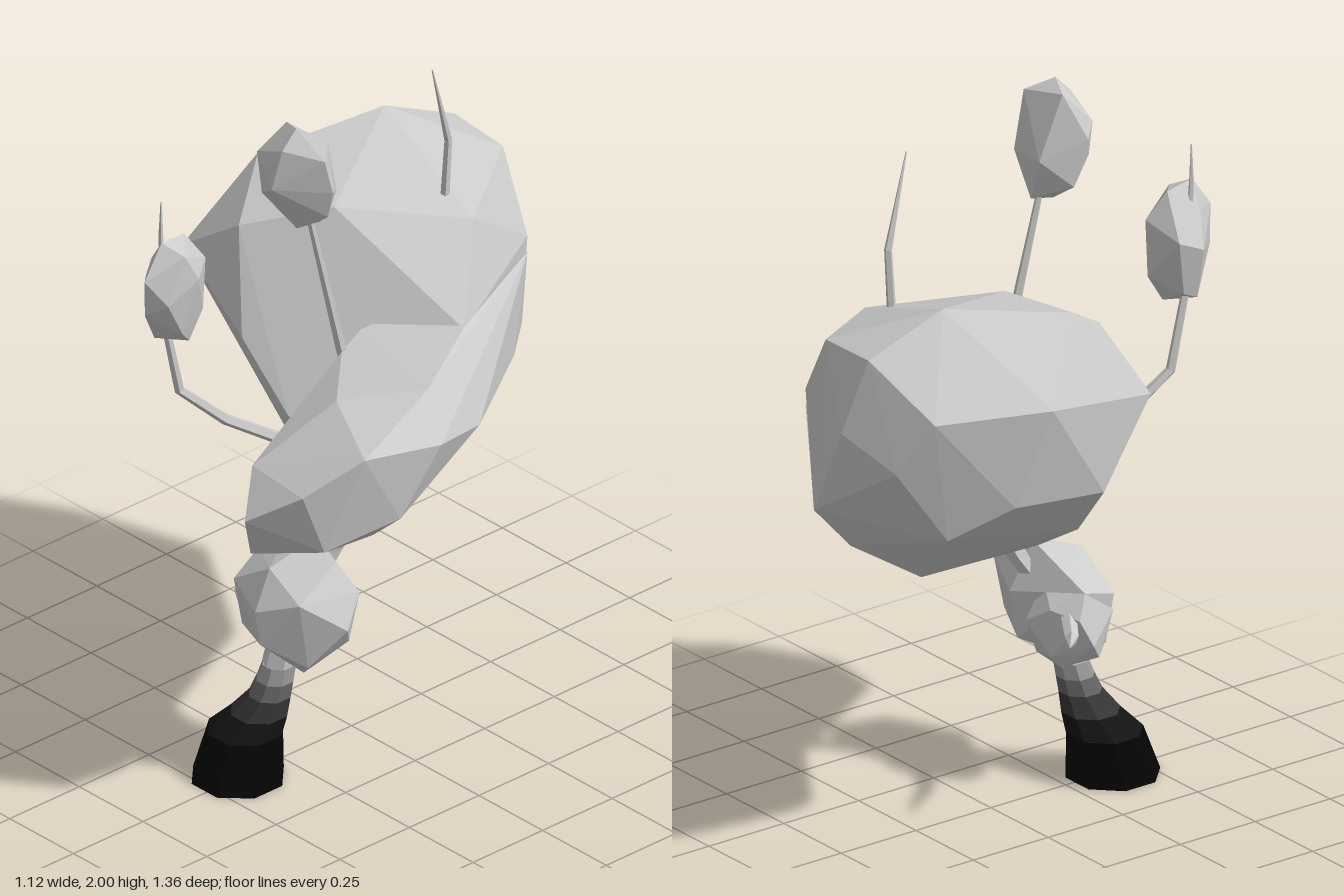
import * as THREE from 'three';
import { ConvexGeometry } from 'three/addons/geometries/ConvexGeometry.js';

const grey = (color = 0xcccccc) => new THREE.MeshStandardMaterial({ color, flatShading: true });

function part(name, geometry, color) {
  const mesh = new THREE.Mesh(geometry, grey(color));
  mesh.name = name;
  return mesh;
}

// Faceted lump wrapped around a handful of corner points
const hull = (points) => new ConvexGeometry(points.map((p) => new THREE.Vector3(...p)));

// Tapered branch through rings [x, y, z, radius]; level keeps rings horizontal
function branch(rings, sides, level = false) {
  const up = new THREE.Vector3(0, 1, 0);
  const centres = rings.map((r) => new THREE.Vector3(r[0], r[1], r[2]));
  const pos = [], idx = [];
  rings.forEach((r, i) => {
    const a = centres[Math.max(i - 1, 0)], b = centres[Math.min(i + 1, rings.length - 1)];
    const turn = new THREE.Quaternion();
    if (!level) turn.setFromUnitVectors(up, b.clone().sub(a).normalize());
    for (let j = 0; j < sides; j++) {
      const t = ((j + 0.5) / sides) * Math.PI * 2;
      const v = new THREE.Vector3(Math.cos(t) * r[3], 0, Math.sin(t) * r[3]);
      pos.push(...v.applyQuaternion(turn).add(centres[i]).toArray());
      if (i === 0) continue;
      const k = (j + 1) % sides, lo = (i - 1) * sides, hi = i * sides;
      idx.push(lo + j, hi + j, hi + k, lo + j, hi + k, lo + k);
    }
  });
  // End caps
  const top = (rings.length - 1) * sides;
  for (let j = 1; j < sides - 1; j++) idx.push(0, j, j + 1, top, top + j + 1, top + j);
  const g = new THREE.BufferGeometry();
  g.setAttribute('position', new THREE.Float32BufferAttribute(pos, 3));
  g.setIndex(idx);
  g.computeVertexNormals();
  return g;
}

export function createModel() {
  const model = new THREE.Group();
  model.name = 'tree';

  // Canopy: big rear lobe and smaller lobe reaching forward
  const canopy = new THREE.Group();
  canopy.name = 'canopy';
  canopy.add(part('rearLobe', hull([
    // crown
    [-0.25, 1.54, -0.6], [-0.05, 1.53, -0.59], [0.13, 1.49, -0.32], [-0.28, 1.64, -0.375],
    [-0.4, 1.58, -0.03], [-0.1, 1.54, -0.03], [-0.29, 1.47, 0.14],
    // girth
    [-0.56, 1.4, -0.22], [-0.495, 1.33, 0.155], [-0.52, 1.1, -0.02], [-0.45, 1.4, -0.53],
    [-0.37, 1.25, -0.6], [-0.21, 1.33, -0.66], [-0.11, 1.08, -0.675], [0.09, 1.33, -0.55],
    [0.09, 1.07, -0.53], [-0.19, 1.2, 0.22], [-0.02, 1.03, 0.21], [0.28, 1.28, -0.15],
    [0.27, 1.07, -0.15], [-0.5, 1.12, -0.3], [-0.4, 1.03, -0.45],
    // underside
    [-0.38, 0.94, 0], [-0.18, 0.82, 0.02], [0.01, 0.78, 0.12], [-0.18, 0.83, -0.37],
    [0.08, 0.84, -0.36], [-0.12, 0.95, -0.56], [0.26, 0.8, 0.1],
  ])));
  canopy.add(part('frontLobe', hull([
    // ridge
    [0.28, 1.29, -0.15], [0.08, 1.27, 0.04], [0.12, 1.26, 0.145], [0.445, 1.28, 0.13], [0.29, 1.25, 0.32],
    // girth
    [0.46, 1.11, -0.04], [0.56, 1.18, 0.19], [0.51, 1.2, 0.42], [0.42, 1.1, 0.56],
    [0.28, 1.0, 0.64], [0.2, 1.1, 0.54], [0.11, 1.05, 0.37], [0.0, 1.02, 0.19],
    // side running back into the rear lobe
    [0.09, 1.28, -0.55], [0.19, 1.06, -0.41], [0.09, 1.07, -0.53], [0.08, 0.84, -0.36],
    // underside
    [0.01, 0.78, 0.12], [0.28, 0.78, 0.18], [0.52, 0.98, 0.3], [0.44, 0.92, 0.5],
    [0.21, 0.84, 0.555], [0.13, 0.87, 0.4],
  ])));
  model.add(canopy);

  // Trunk: charred foot fading into a pale leaning stem
  const trunk = new THREE.Group();
  trunk.name = 'trunk';
  const foot = [
    [-0.01, 0.005, 0.4, 0.13], [-0.013, 0.14, 0.37, 0.106], [0.015, 0.195, 0.345, 0.081],
    [0.037, 0.25, 0.327, 0.06], [0.044, 0.295, 0.315, 0.053], [0.048, 0.34, 0.303, 0.048],
  ];
  [0x050505, 0x141414, 0x363636, 0x666666, 0x9a9a9a].forEach((color, i) => {
    trunk.add(part('trunkSection' + (i + 1), branch([foot[i], foot[i + 1]], 8, true), color));
  });
  trunk.add(part('upperTrunk', branch([
    foot[5], [0.06, 0.5, 0.27, 0.045], [0.1, 0.66, 0.165, 0.032],
    [0.13, 0.77, 0.11, 0.036], [0.15, 0.88, 0.05, 0.03]], 6, true)));
  model.add(trunk);

  // Leaf clump around the trunk with a small side knob
  const clump = new THREE.Group();
  clump.name = 'trunkClump';
  clump.add(part('clumpBody', hull([
    [0.08, 0.7, 0.2], [0.18, 0.67, 0.22], [0.28, 0.52, 0.27], [0.25, 0.6, 0.2], [0.23, 0.45, 0.22],
    [0.14, 0.345, 0.3], [0.02, 0.36, 0.28], [0.06, 0.65, 0.35], [0.2, 0.6, 0.37], [0.08, 0.55, 0.42],
    [0.1, 0.46, 0.42], [-0.07, 0.42, 0.33], [-0.08, 0.56, 0.35], [0, 0.65, 0.26], [-0.11, 0.6, 0.23],
    [0.1, 0.56, 0.14], [0.08, 0.43, 0.15], [0.2, 0.4, 0.34],
  ])));
  clump.add(part('clumpKnob', hull([
    [-0.11, 0.6, 0.23], [-0.14, 0.54, 0.19], [-0.15, 0.46, 0.23], [-0.12, 0.41, 0.27],
    [-0.06, 0.38, 0.19], [-0.06, 0.42, 0.155], [-0.05, 0.55, 0.16], [0.03, 0.5, 0.14],
    [-0.09, 0.52, 0.34], [-0.08, 0.43, 0.32], [0.05, 0.39, 0.19], [0.03, 0.6, 0.2],
  ])));
  model.add(clump);

  // Leaf tufts on the two long branches
  model.add(part('topTuft', hull([
    [0.11, 2.0, 0.3], [0.04, 1.98, 0.27], [0.17, 1.96, 0.24], [0.11, 1.95, 0.35],
    [-0.02, 1.86, 0.31], [0.0, 1.9, 0.34], [0.2, 1.82, 0.25], [0.19, 1.92, 0.27],
    [0.09, 1.83, 0.37], [0.03, 1.79, 0.35], [0.05, 1.8, 0.2], [0.16, 1.8, 0.2],
    [-0.01, 1.73, 0.27], [0.08, 1.67, 0.27], [0.1, 1.675, 0.21], [0.18, 1.74, 0.25],
  ])));
  model.add(part('frontTuft', hull([
    [-0.08, 1.69, 0.61], [-0.09, 1.68, 0.52], [-0.02, 1.66, 0.58], [-0.13, 1.62, 0.6],
    [-0.185, 1.53, 0.57], [-0.17, 1.56, 0.5], [-0.07, 1.6, 0.68], [-0.08, 1.49, 0.67],
    [-0.02, 1.53, 0.64], [-0.01, 1.58, 0.54], [-0.06, 1.6, 0.47], [-0.07, 1.44, 0.47],
    [-0.15, 1.4, 0.53], [-0.13, 1.37, 0.59], [-0.07, 1.36, 0.52], [-0.03, 1.42, 0.58],
  ])));

  // Branches and bare twigs
  const twigs = {
    topBranch: [[0.115, 1.15, 0.11, 0.016], [0.11, 1.27, 0.14, 0.015], [0.09, 1.72, 0.24, 0.009]],
    frontBranch: [[0.03, 0.88, 0.12, 0.018], [-0.01, 0.96, 0.22, 0.018], [-0.08, 1.06, 0.38, 0.016],
      [-0.125, 1.18, 0.505, 0.014], [-0.125, 1.42, 0.56, 0.011]],
    frontTuftTwig: [[-0.11, 1.6, 0.58, 0.01], [-0.105, 1.69, 0.59, 0.007], [-0.1, 1.8, 0.593, 0.002]],
    rearTwig: [[0.02, 1.42, -0.31, 0.014], [0.03, 1.69, -0.32, 0.011], [0.055, 1.945, -0.24, 0.002]],
    trunkTwig: [[-0.06, 0.54, 0.21, 0.024], [-0.17, 0.515, 0.14, 0.019], [-0.32, 0.575, 0.02, 0.004]],
  };
  for (const [name, rings] of Object.entries(twigs)) model.add(part(name, branch(rings, 5)));

  return model;
}
